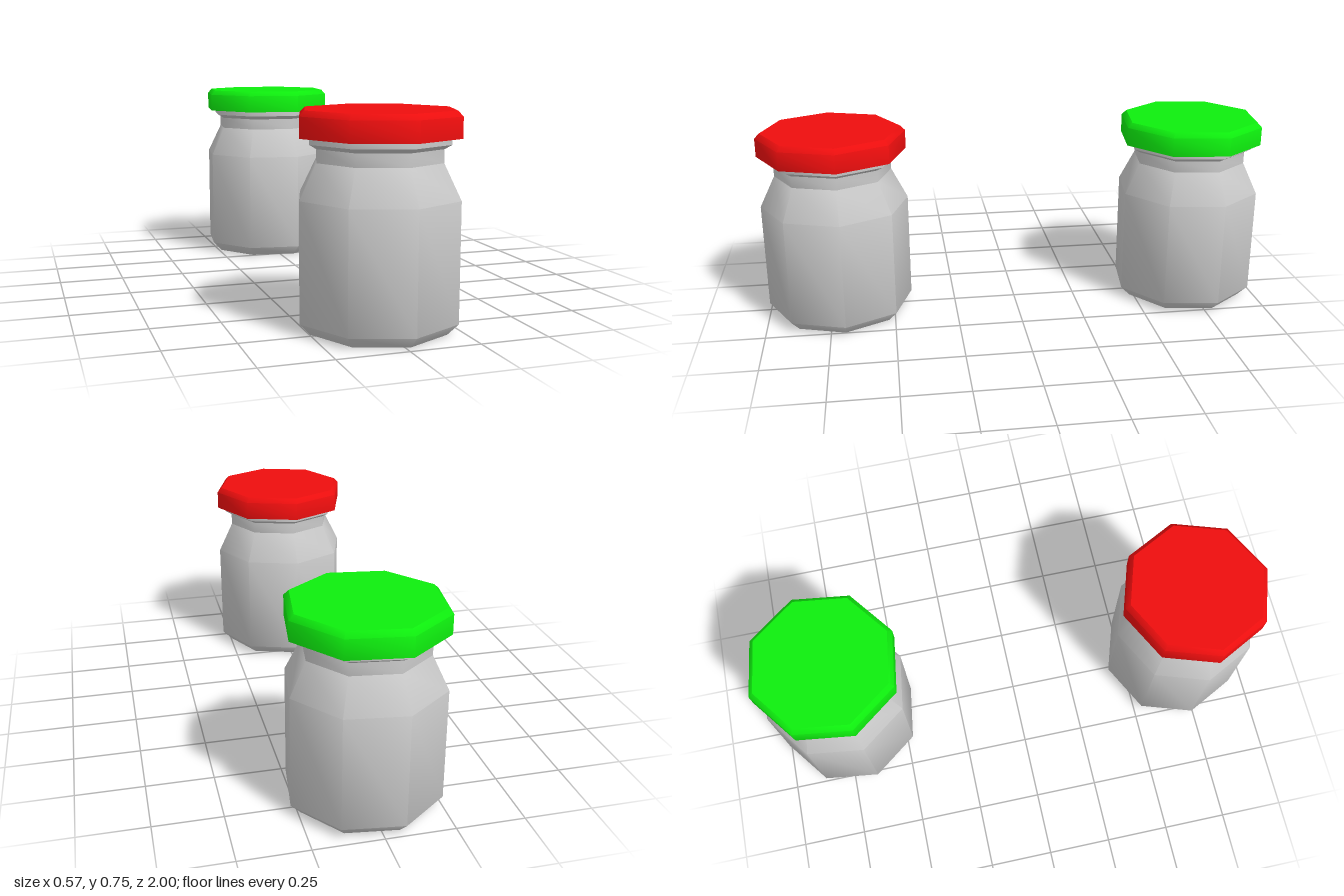
import * as THREE from 'three';
import { toCreasedNormals } from 'three/addons/utils/BufferGeometryUtils.js';

const SIDES = 8;

// Eight-sided turned part; profile is [radius, height] from bottom to top
function turned(name, profile, material, crease = 0.8) {
  const points = profile.map(([r, y]) => new THREE.Vector2(r, y));
  const geometry = toCreasedNormals(new THREE.LatheGeometry(points, SIDES), crease);
  const mesh = new THREE.Mesh(geometry, material);
  mesh.name = name;
  return mesh;
}

function createJar(name, lidColor) {
  const jar = new THREE.Group();
  jar.name = name;
  const glass = new THREE.MeshStandardMaterial({ color: 0xcccccc, side: THREE.DoubleSide });
  const paint = new THREE.MeshStandardMaterial({ color: lidColor });

  // Body with bevelled foot and sloping shoulder
  jar.add(turned('body', [
    [0, 0], [0.248, 0], [0.287, 0.04], [0.287, 0.455], [0.226, 0.577],
  ], glass));

  // Neck flaring into the rim under the lid
  jar.add(turned('neck', [
    [0.226, 0.577], [0.226, 0.623], [0.252, 0.638],
  ], glass));
  jar.add(turned('rim', [[0.252, 0.638], [0.252, 0.66]], glass));

  // Lid with bevelled top edge
  jar.add(turned('lid', [
    [0, 0.659], [0.287, 0.659], [0.287, 0.731], [0.268, 0.75], [0, 0.75],
  ], paint));
  return jar;
}

export function createModel() {
  const model = new THREE.Group();
  model.name = 'jars';

  const frontJar = createJar('frontJar', 0xee0e0e);
  frontJar.position.z = 0.714;
  frontJar.rotation.y = 0.08;

  const backJar = createJar('backJar', 0x0eee0e);
  backJar.position.z = -0.723;
  backJar.rotation.y = 0.26;

  model.add(frontJar, backJar);
  return model;
}
